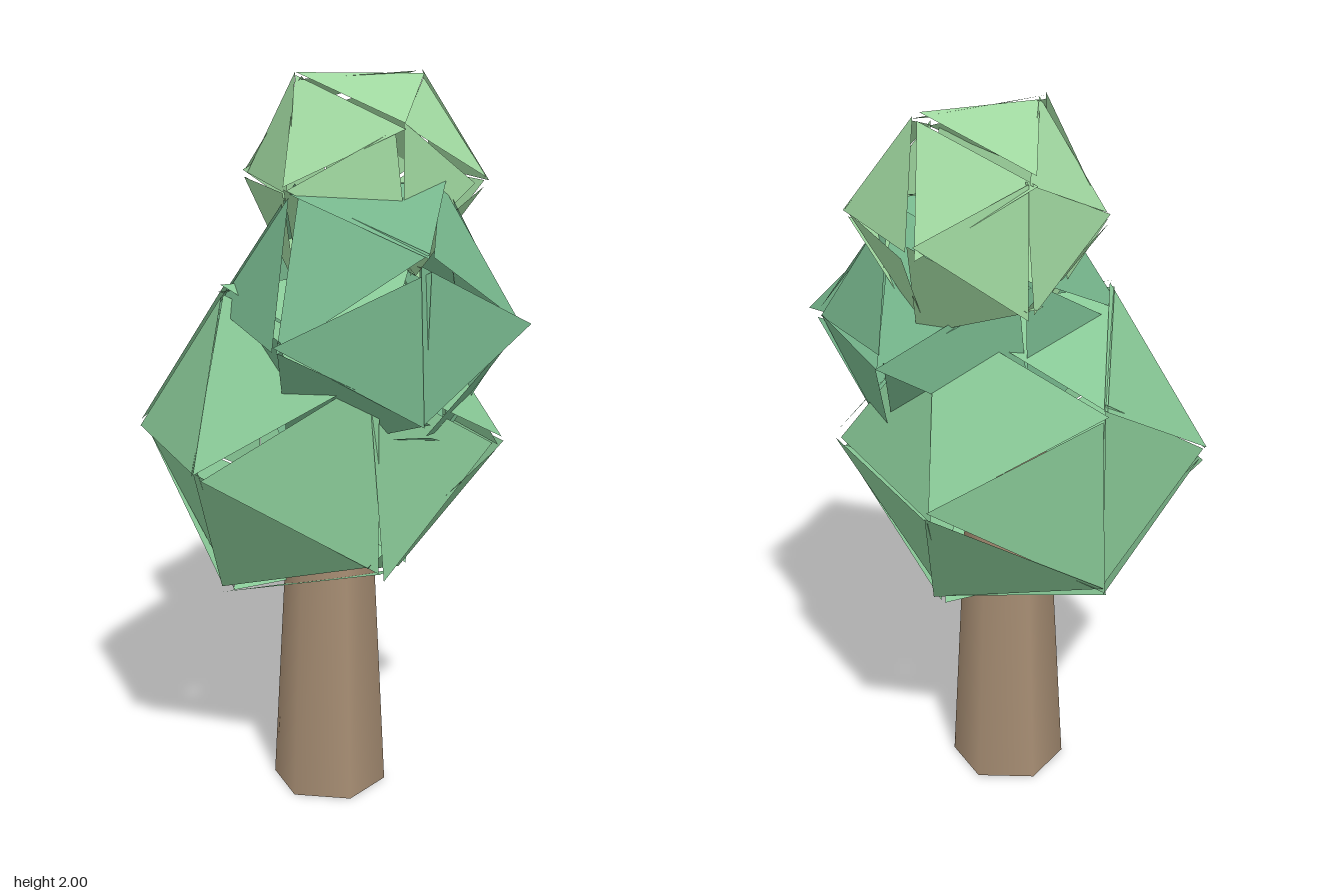
import * as THREE from 'three';

// Small seeded generator returning values in -1..1
function seeded(seed) {
  let s = seed;
  return () => {
    s = (s * 16807) % 2147483647;
    return (s / 2147483647) * 2 - 1;
  };
}

// Leaf clump: icosahedron whose loose triangles are nudged apart at every corner
function leafClump(name, radius, jitter, color, position, seed) {
  const geometry = new THREE.IcosahedronGeometry(radius, 0); // non-indexed
  const rand = seeded(seed);
  const p = geometry.attributes.position;
  for (let i = 0; i < p.count; i++) {
    p.setXYZ(
      i,
      p.getX(i) + rand() * jitter,
      p.getY(i) + rand() * jitter,
      p.getZ(i) + rand() * jitter
    );
  }
  geometry.computeVertexNormals();
  const mesh = new THREE.Mesh(
    geometry,
    new THREE.MeshStandardMaterial({ color, flatShading: true, side: THREE.DoubleSide })
  );
  mesh.name = name;
  mesh.position.set(...position);
  return mesh;
}

export function createModel() {
  const tree = new THREE.Group();
  tree.name = 'tree';

  // Tapered six-sided trunk, its top hidden in the lowest clump
  const height = 1;
  const trunk = new THREE.Mesh(
    new THREE.CylinderGeometry(0.108, 0.16, height, 6),
    new THREE.MeshStandardMaterial({ color: 0xa58c72 })
  );
  trunk.name = 'trunk';
  trunk.position.set(0.012, height / 2, 0.02);
  tree.add(trunk);

  // Three clumps, shrinking and shifting sideways upward
  tree.add(
    leafClump('lowerLeaves', 0.495, 0.022, 0x88c896, [-0.01, 1.025, -0.035], 4711),
    leafClump('middleLeaves', 0.408, 0.022, 0x76b68c, [0.09, 1.37, 0.11], 90210),
    leafClump('topLeaves', 0.325, 0.018, 0xa0d8a0, [0.14, 1.71, -0.08], 31337)
  );
  return tree;
}
